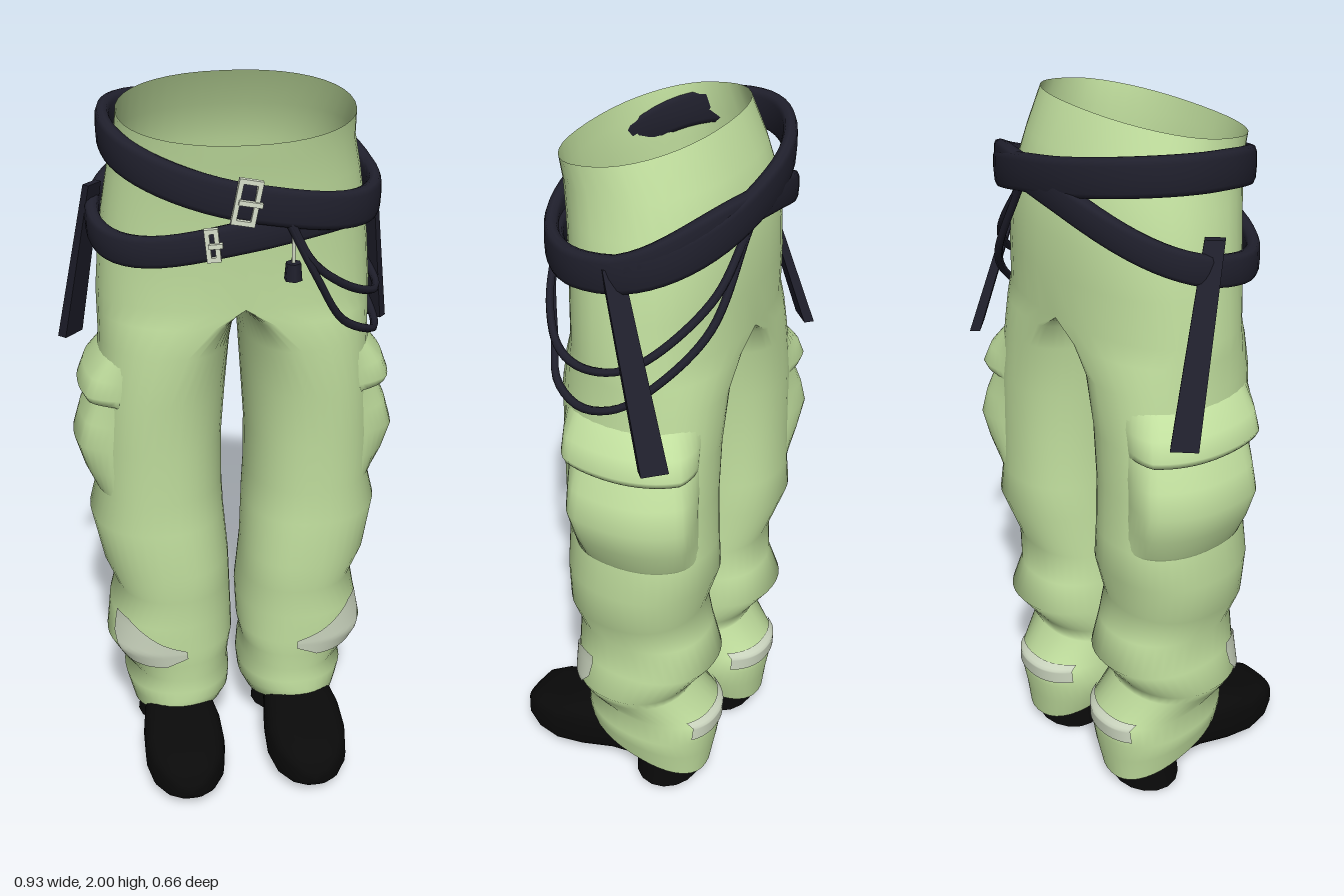
import * as THREE from 'three';
import { mergeVertices, mergeGeometries } from 'three/addons/utils/BufferGeometryUtils.js';

const mat = (name, color, side = THREE.FrontSide) => {
  const m = new THREE.MeshStandardMaterial({ color, side });
  m.name = name;
  return m;
};

// power curve that makes an ellipse slightly boxy
const pw = (v, e) => Math.sign(v) * Math.pow(Math.abs(v), e);

// smooth surface from fn(u, v) -> [x, y, z]; the outside is du x dv
function grid(nu, nv, fn) {
  const pos = [], idx = [];
  for (let j = 0; j <= nv; j++)
    for (let i = 0; i <= nu; i++) pos.push(...fn(i / nu, j / nv, j));
  for (let j = 0; j < nv; j++)
    for (let i = 0; i < nu; i++) {
      const a = j * (nu + 1) + i, d = a + nu + 1;
      idx.push(a, a + 1, d, a + 1, d + 1, d);
    }
  const g = new THREE.BufferGeometry();
  g.setAttribute('position', new THREE.Float32BufferAttribute(pos, 3));
  g.setIndex(idx);
  const m = mergeVertices(g);
  m.computeVertexNormals();
  return m;
}

// copy reflected to the other side, with corner order restored
function mirror(geo) {
  const g = geo.clone().scale(-1, 1, 1), ix = g.index.array;
  for (let i = 0; i < ix.length; i += 3) [ix[i], ix[i + 1]] = [ix[i + 1], ix[i]];
  g.computeVertexNormals();
  return g;
}

// cross-sections: y, inner x, middle x, outer x, front z, back z, lift at the front
const LEG = [
  [0.05, 0.045, 0.18, 0.305, 0.10, -0.275, 0.13],
  [0.13, 0.02, 0.17, 0.318, 0.105, -0.285, 0.08],
  [0.20, 0.015, 0.17, 0.33, 0.10, -0.295, 0.04],
  [0.265, 0.02, 0.17, 0.315, 0.10, -0.298, 0.02],
  [0.34, 0.02, 0.18, 0.35, 0.105, -0.215, 0],
  [0.39, 0.01, 0.19, 0.38, 0.11, -0.235, 0],
  [0.48, 0.01, 0.19, 0.365, 0.11, -0.297, 0],
  [0.57, 0.015, 0.18, 0.347, 0.11, -0.265, 0],
  [0.66, 0.02, 0.19, 0.38, 0.125, -0.25, 0],
  [0.80, 0.03, 0.21, 0.41, 0.115, -0.295, 0],
  [0.90, 0.035, 0.21, 0.385, 0.115, -0.29, 0],
  [1.05, 0.035, 0.21, 0.39, 0.12, -0.285, 0],
  [1.20, 0.025, 0.20, 0.375, 0.13, -0.285, 0],
  [1.35, 0.015, 0.15, 0.365, 0.145, -0.285, 0],
  [1.43, 0.006, 0.08, 0.365, 0.148, -0.288, 0],
  [1.48, 0, 0, 0.365, 0.15, -0.29, 0],
];
const LINING = [[0.2, 0.09, 0.18, 0.27, 0.05, -0.18, 0.05], LEG[0]];
const hip = (y, x, zf, zb, lift = 0) => [y, -x, 0, x, zf, zb, lift];
const HIPS = [
  hip(1.48, 0.365, 0.15, -0.29), hip(1.6, 0.355, 0.155, -0.293),
  hip(1.7, 0.342, 0.16, -0.29), hip(1.8, 0.325, 0.17, -0.28),
  hip(1.9, 0.305, 0.182, -0.25, -0.03), hip(2.0, 0.30, 0.19, -0.20, -0.08),
];

// point on a cross-section; angle 0 is the front, a quarter turn is +x
function sectionPoint([y, xi, cx, xo, zf, zb, lift], a) {
  const s = pw(Math.sin(a), 0.9), c = pw(Math.cos(a), 0.9);
  return [
    cx + (s > 0 ? xo - cx : cx - xi) * (Math.abs(s) < 1e-9 ? 0 : s),
    y + lift * (1 + Math.cos(a)) / 2,
    (zf + zb) / 2 + (zf - zb) / 2 * c,
  ];
}

// point on the leg at height y, pushed outward
function legPoint(y, a, off) {
  let k = 0;
  while (k < LEG.length - 2 && LEG[k + 1][0] < y) k++;
  const t = (y - LEG[k][0]) / (LEG[k + 1][0] - LEG[k][0]);
  const row = LEG[k].map((v, i) => v + (LEG[k + 1][i] - v) * t);
  const p = sectionPoint(row, a);
  return [p[0] + Math.sin(a) * off, p[1], p[2] + Math.cos(a) * off];
}

const loft = (rows) => grid(40, rows.length - 1, (u, v, j) => sectionPoint(rows[j], u * Math.PI * 2));

// padded panel on the leg from rows of height and offset
const panel = (a0, a1, rows) => grid(24, rows.length - 1, (u, v, j) => {
  const edge = Math.min(1, 5 * Math.min(u, 1 - u));
  return legPoint(rows[j][0], a0 + (a1 - a0) * u, -0.005 + (rows[j][1] + 0.005) * edge);
});

// flat marking on the leg; outline gives the lower and upper edge along its length
function marking(a0, a1, outline) {
  return grid(20, 10, (u, v) => {
    const f = u * (outline.length - 1), k = Math.min(Math.floor(f), outline.length - 2), t = f - k;
    const edge = (n) => outline[k][n] + (outline[k + 1][n] - outline[k][n]) * t;
    return legPoint(edge(0) + (edge(1) - edge(0)) * v, a0 + (a1 - a0) * u, 0.006);
  });
}

// rounded belt ring whose height varies with the angle
const belt = (xl, xr, zf, zb, h, height) => grid(56, 12, (u, v) => {
  const a = u * Math.PI * 2, f = v * Math.PI * 2;
  const p = sectionPoint([0, xl, (xl + xr) / 2, xr, zf, zb, 0], a);
  const out = 0.019 * pw(Math.cos(f), 0.6);
  return [p[0] + Math.sin(a) * out, height(a) + h * pw(Math.sin(f), 0.6), p[2] + Math.cos(a) * out];
});

// shoe sections: z, half width, bottom, top
const SHOE = [
  [-0.2, 0, 0.08, 0.12], [-0.195, 0.07, 0.05, 0.15], [-0.1, 0.09, 0.05, 0.2], [0, 0.098, 0.04, 0.2],
  [0.1, 0.115, 0.015, 0.193], [0.18, 0.118, 0.003, 0.165], [0.25, 0.105, 0.01, 0.145],
  [0.3, 0.075, 0.022, 0.125], [0.325, 0.04, 0.035, 0.09], [0.33, 0, 0.05, 0.06],
];

function buckleGeometry(w, h) {
  const rect = (C, a, b) => {
    const s = new C();
    s.moveTo(-a, -b); s.lineTo(a, -b); s.lineTo(a, b); s.lineTo(-a, b); s.closePath();
    return s;
  };
  const frame = rect(THREE.Shape, w / 2, h / 2);
  frame.holes.push(rect(THREE.Path, w / 2 - 0.012, h / 2 - 0.012));
  const ring = new THREE.ExtrudeGeometry(frame, { depth: 0.014, bevelEnabled: false });
  const prong = new THREE.BoxGeometry(w, 0.012, 0.012).translate(0.008, 0, 0.014).toNonIndexed();
  return mergeGeometries([ring, prong]);
}

export function createModel() {
  const model = new THREE.Group();
  model.name = 'cargoTrousers';
  const cloth = mat('green cloth', 0xc2e09f, THREE.DoubleSide);
  const strapMat = mat('dark navy leather', 0x20202d);
  const black = mat('black shoe', 0x0a0a0a);
  const reflective = mat('pale reflective', 0xcad4be, THREE.DoubleSide);
  const metal = mat('pale metal', 0xd8e0cb);
  const add = (name, geo, m) => {
    const mesh = new THREE.Mesh(geo, m);
    mesh.name = name;
    model.add(mesh);
    return mesh;
  };
  const pair = (name, geo, m) => {
    add(name + 'Left', geo, m);
    add(name + 'Right', mirror(geo), m);
  };

  // trousers in one continuous skin
  const leg = loft(LEG);
  const skin = mergeGeometries([loft(HIPS), leg, mirror(leg)]);
  skin.deleteAttribute('normal');
  const trousers = mergeVertices(skin);
  trousers.computeVertexNormals();
  add('trousers', trousers, cloth);
  pair('hemLining', loft(LINING), cloth);

  // cargo pockets
  pair('pocket', panel(0.8, 2.9, [[0.885, -0.005], [0.9, 0.008], [0.97, 0.035], [1.05, 0.055],
    [1.12, 0.042], [1.18, 0.022], [1.24, 0.005]]), cloth);
  pair('pocketFlap', panel(0.72, 2.85, [[1.18, -0.005], [1.19, 0.042], [1.21, 0.053],
    [1.26, 0.038], [1.32, -0.005]]), cloth);

  // reflective markings
  pair('shinPatch', marking(-0.12, 1.15, [[0.375, 0.4], [0.345, 0.43], [0.345, 0.465], [0.35, 0.495], [0.43, 0.5]]), reflective);
  pair('calfStripe', marking(2.55, 4.0, [[0.222, 0.283], [0.222, 0.283]]), reflective);

  // shoes and heels
  pair('shoe', grid(24, SHOE.length - 1, (u, v, j) => {
    const [z, hw, b, t] = SHOE[j], a = u * Math.PI * 2;
    return [0.182 + hw * pw(Math.cos(a), 0.6), (b + t) / 2 + (t - b) / 2 * pw(Math.sin(a), 0.6), z];
  }), black);
  pair('heel', new THREE.CylinderGeometry(0.1, 0.11, 0.09, 16).scale(1, 1, 0.85).translate(0.18, 0.045, -0.152), black);

  // two crossing belts
  add('upperBelt', belt(-0.328, 0.363, 0.2, -0.312, 0.05,
    (a) => 1.8175 - 0.04 * Math.cos(a) - 0.085 * Math.sin(a)), strapMat);
  add('lowerBelt', belt(-0.365, 0.362, 0.188, -0.31, 0.042, (a) => 1.732 - 0.07 * Math.cos(a)
    + 0.035 * Math.sin(a) + 0.03 * Math.cos(2 * a) + 0.02 * Math.sin(2 * a) * Math.cos(a)), strapMat);

  // hanging straps, slanting outward and back
  const strap = new THREE.BoxGeometry(0.07, 0.48, 0.028).rotateY(-Math.PI / 4);
  const sp = strap.attributes.position;
  for (let i = 0; i < sp.count; i++) {
    const t = 0.5 - sp.getY(i) / 0.48, w = 0.7 + 0.3 * t;
    sp.setXYZ(i, sp.getX(i) * w + 0.36 + 0.072 * t, sp.getY(i) + 1.515, sp.getZ(i) * w - 0.09 - 0.15 * t);
  }
  strap.computeVertexNormals();
  pair('hangingStrap', strap, strapMat);

  // cords draped over the left hip
  const cords = [
    [[0.1, 1.73, 0.2], [0.16, 1.62, 0.2], [0.25, 1.54, 0.16], [0.34, 1.485, 0.08], [0.374, 1.47, 0],
      [0.376, 1.485, -0.1], [0.345, 1.53, -0.18], [0.22, 1.66, -0.285], [0.1, 1.8, -0.31]],
    [[0.1, 1.72, 0.2], [0.17, 1.58, 0.2], [0.25, 1.44, 0.15], [0.335, 1.38, 0.09], [0.376, 1.355, 0],
      [0.379, 1.38, -0.1], [0.35, 1.44, -0.18], [0.24, 1.58, -0.285], [0.1, 1.8, -0.31]],
  ];
  cords.forEach((pts, i) => {
    const curve = new THREE.CatmullRomCurve3(pts.map((p) => new THREE.Vector3(...p)));
    add('cord' + (i + 1), new THREE.TubeGeometry(curve, 48, 0.011, 6), strapMat);
  });

  // pendant
  add('pendantLink', new THREE.CylinderGeometry(0.005, 0.005, 0.1, 6).translate(0.11, 1.67, 0.2), metal);
  add('pendant', new THREE.CylinderGeometry(0.02, 0.024, 0.045, 6).translate(0.11, 1.6, 0.2), strapMat);

  // buckles
  const b1 = add('upperBuckle', buckleGeometry(0.06, 0.115), metal);
  b1.position.set(-0.01, 1.79, 0.213);
  b1.rotation.z = -0.2;
  const b2 = add('lowerBuckle', buckleGeometry(0.035, 0.085), metal);
  b2.position.set(-0.09, 1.68, 0.196);
  b2.rotation.set(0, -0.2, 0.1);

  return model;
}
